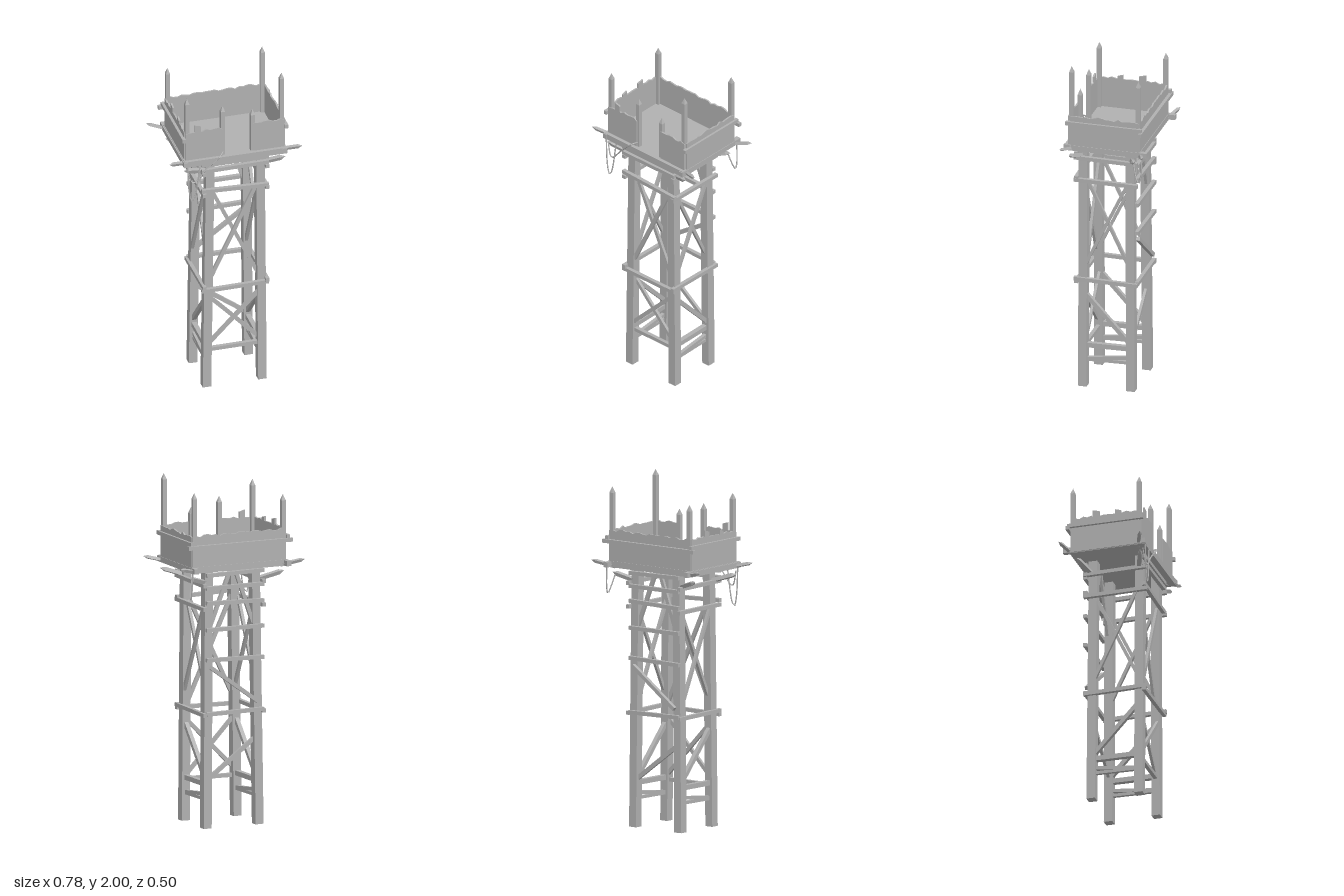
import * as THREE from 'three';

const wood = new THREE.MeshStandardMaterial({ color: 0xb0b0b0, flatShading: true });
wood.name = 'weathered grey';
wood.side = THREE.DoubleSide;

const V = (p) => new THREE.Vector3(...p);
const UP = new THREE.Vector3(0, 1, 0);

export function createModel() {
  const model = new THREE.Group();
  model.name = 'watchtower';

  function add(name, geometry, parent = model) {
    const mesh = new THREE.Mesh(geometry, wood);
    mesh.name = name;
    parent.add(mesh);
    return mesh;
  }

  // Square timber from a to b; w and d are its section
  function bar(name, a, b, w = 0.022, d = w) {
    const dir = V(b).sub(V(a));
    const mesh = add(name, new THREE.BoxGeometry(w, dir.length(), d));
    mesh.position.copy(V(a).add(V(b)).multiplyScalar(0.5));
    mesh.quaternion.setFromUnitVectors(UP, dir.normalize());
    return mesh;
  }

  // Timber with a pyramid point at b
  function stake(name, a, b, w, tip) {
    const dir = V(b).sub(V(a));
    const length = dir.length();
    const group = new THREE.Group();
    group.name = name;
    add('shaft', new THREE.BoxGeometry(w, length - tip, w), group).position.y = (length - tip) / 2;
    const point = new THREE.ConeGeometry(w * Math.SQRT1_2, tip, 4).rotateY(Math.PI / 4);
    add('point', point, group).position.y = length - tip / 2;
    group.position.copy(V(a));
    group.quaternion.setFromUnitVectors(UP, dir.normalize());
    model.add(group);
  }

  let seed = 7;
  const rand = () => (seed = (seed * 16807) % 2147483647) / 2147483647;

  // Thin wall from u0 to u1 with a ragged top; tall lists [start, end, height] of longer planks
  function wallGeometry(u0, u1, tall = []) {
    const shape = new THREE.Shape();
    shape.moveTo(u0, 1.52);
    const n = Math.round((u1 - u0) / 0.024);
    for (let i = 0; i <= n; i++) {
      const u = u0 + ((u1 - u0) * i) / n;
      const plank = tall.find((t) => u >= t[0] && u <= t[1]);
      if (plank) continue;
      const next = tall.find((t) => t[0] > u && t[0] <= u + (u1 - u0) / n);
      shape.lineTo(u, 1.692 + rand() * 0.018);
      if (next) {
        shape.lineTo(next[0], 1.7);
        shape.lineTo(next[0], next[2]);
        shape.lineTo(next[1], next[2] - 0.01);
        shape.lineTo(next[1], 1.7);
      }
    }
    shape.lineTo(u1, 1.52);
    return new THREE.ExtrudeGeometry(shape, { depth: 0.01, bevelEnabled: false });
  }

  // Legs lean slightly inward
  for (const [b, t] of [[-0.155, -0.135], [0.172, 0.16]]) {
    bar('frontLeg', [b, 0, 0.165], [t, 1.49, 0.165], 0.05);
    bar('backLeg', [b, 0, -0.118], [t, 1.49, -0.11], 0.05);
  }

  // Horizontal beams across the front and back
  for (const [y0, y1] of [[0.64, 0.645], [1.295, 1.28], [1.425, 1.43], [1.465, 1.465]]) {
    bar('frontBeam', [-0.19, y0, 0.2], [0.205, y1, 0.2]);
  }
  for (const [y0, y1] of [[0.665, 0.66], [0.965, 0.972], [1.145, 1.145], [1.29, 1.3], [1.385, 1.385], [1.465, 1.46]]) {
    bar('backRung', [-0.175, y0, -0.152], [0.185, y1, -0.152]);
  }
  bar('frontLowRung', [-0.14, 0.235, 0.165], [0.16, 0.237, 0.165]);

  // Side beams and braces, left and right
  for (const s of [-1, 1]) {
    const x = s > 0 ? 0.195 : -0.175;
    const xi = s > 0 ? 0.168 : -0.15;
    for (const [y0, y1] of [[0.66, 0.655], [1.268, 1.265], [1.405, 1.4]]) {
      bar('sideBeam', [x, y0, 0.215], [x, y1, -0.16]);
    }
    bar('sideLowRung', [xi, 0.25, 0.15], [xi, 0.253, -0.1], 0.028);
    bar('sideLowRung', [xi, 0.16, 0.15], [xi, 0.165, -0.1], 0.018);
    bar('sideLowRung', [xi, 0.165, 0.15], [xi, 0.195, -0.1], 0.02);
    bar('sideLowBrace', [xi, 0.56, 0.15], [xi, 0.29, -0.1], 0.024);
    bar('sideBrace', [xi - 0.01, 1.27, 0.15], [xi - 0.01, 0.75, -0.1], 0.018);
    bar('sideBrace', [xi + 0.01, 0.75, 0.15], [xi + 0.01, 1.27, -0.1], 0.018);
  }

  // Crossed braces on the front and back
  bar('frontBrace', [-0.125, 0.72, 0.175], [0.14, 1.28, 0.175], 0.022, 0.016);
  bar('frontBrace', [-0.125, 1.28, 0.158], [0.15, 0.69, 0.158], 0.022, 0.016);
  bar('frontLowBrace', [-0.14, 0.28, 0.175], [0.155, 0.58, 0.175], 0.022, 0.016);
  bar('frontLowBrace', [-0.14, 0.58, 0.158], [0.155, 0.27, 0.158], 0.022, 0.016);
  bar('backLowBrace', [-0.14, 0.5, -0.115], [0.155, 0.28, -0.115], 0.024, 0.016);
  bar('backSlat', [-0.14, 0.71, -0.153], [0.16, 0.93, -0.153], 0.022);
  bar('backBrace', [-0.13, 1.14, -0.12], [-0.005, 1.49, -0.12], 0.022, 0.016);
  bar('backBrace', [0.155, 1.14, -0.12], [0.015, 1.49, -0.12], 0.022, 0.016);

  // Platform floor and the beams along its sides
  add('floor', new THREE.BoxGeometry(0.6, 0.036, 0.445)).position.set(0, 1.506, 0.0175);
  bar('floorBeam', [-0.292, 1.506, -0.243], [-0.292, 1.506, 0.245], 0.028, 0.03);
  bar('floorBeam', [0.289, 1.506, -0.243], [0.289, 1.506, 0.245], 0.028, 0.03);

  // Walls, with a doorway in the front
  add('backWall', wallGeometry(-0.29, 0.293)).position.z = -0.202;
  add('frontWallLeft', wallGeometry(0.11, 0.293)).position.z = 0.21;
  add('frontWallRight', wallGeometry(-0.29, -0.07, [[-0.235, -0.2, 1.745]])).position.z = 0.21;
  add('leftWall', wallGeometry(-0.195, 0.205).rotateY(-Math.PI / 2)).position.x = 0.3;
  add('rightWall', wallGeometry(-0.195, 0.205, [[-0.07, -0.03, 1.74], [0.065, 0.098, 1.728]])
    .rotateY(-Math.PI / 2)).position.x = -0.285;

  // Rails
  bar('backRail', [-0.327, 1.637, -0.211], [0.329, 1.637, -0.211], 0.022, 0.02);
  for (const x of [-0.301, 0.303]) bar('sideRail', [x, 1.657, -0.215], [x, 1.657, 0.232], 0.02, 0.022);

  // Pointed posts
  for (const [x, z, top] of [
    [0.28, 0.203, 2], [-0.278, 0.203, 1.92], [0.28, -0.19, 1.95], [-0.278, -0.19, 1.9],
    [-0.068, 0.203, 1.84], [0.108, 0.203, 1.79],
  ]) stake('post', [x, 1.5, z], [x, top, z], 0.025, 0.035);

  // Stakes jutting from the corners, at floor level and below it
  for (const sx of [-1, 1]) {
    for (const sz of [-1, 1]) {
      stake('floorStake', [sx * 0.26, 1.493, sz * 0.19], [sx * 0.392, 1.525, sz * 0.242], 0.017, 0.025);
      const z0 = sz > 0 ? 0.165 : -0.115;
      stake('lowStake', [sx * 0.16, 1.41, z0], [sx * 0.3, 1.455, z0 + sz * 0.05], 0.022, 0.03);
    }
  }

  // Hanging ropes
  const ropes = [
    [[-0.07, 1.548, 0.215], [-0.09, 1.54, 0.246], [-0.17, 1.46, 0.238], [-0.25, 1.38, 0.235], [-0.285, 1.47, 0.225]],
    [[-0.285, 1.5, 0.24], [-0.275, 1.33, 0.242], [-0.26, 1.265, 0.242], [-0.245, 1.28, 0.242], [-0.21, 1.49, 0.238]],
    [[0.3, 1.5, -0.215], [0.305, 1.37, -0.21], [0.306, 1.335, -0.198], [0.3, 1.37, -0.18], [0.28, 1.45, -0.16]],
  ];
  for (const points of ropes) {
    const curve = new THREE.CatmullRomCurve3(points.map(V));
    add('rope', new THREE.TubeGeometry(curve, 20, 0.004, 5));
  }

  return model;
}
